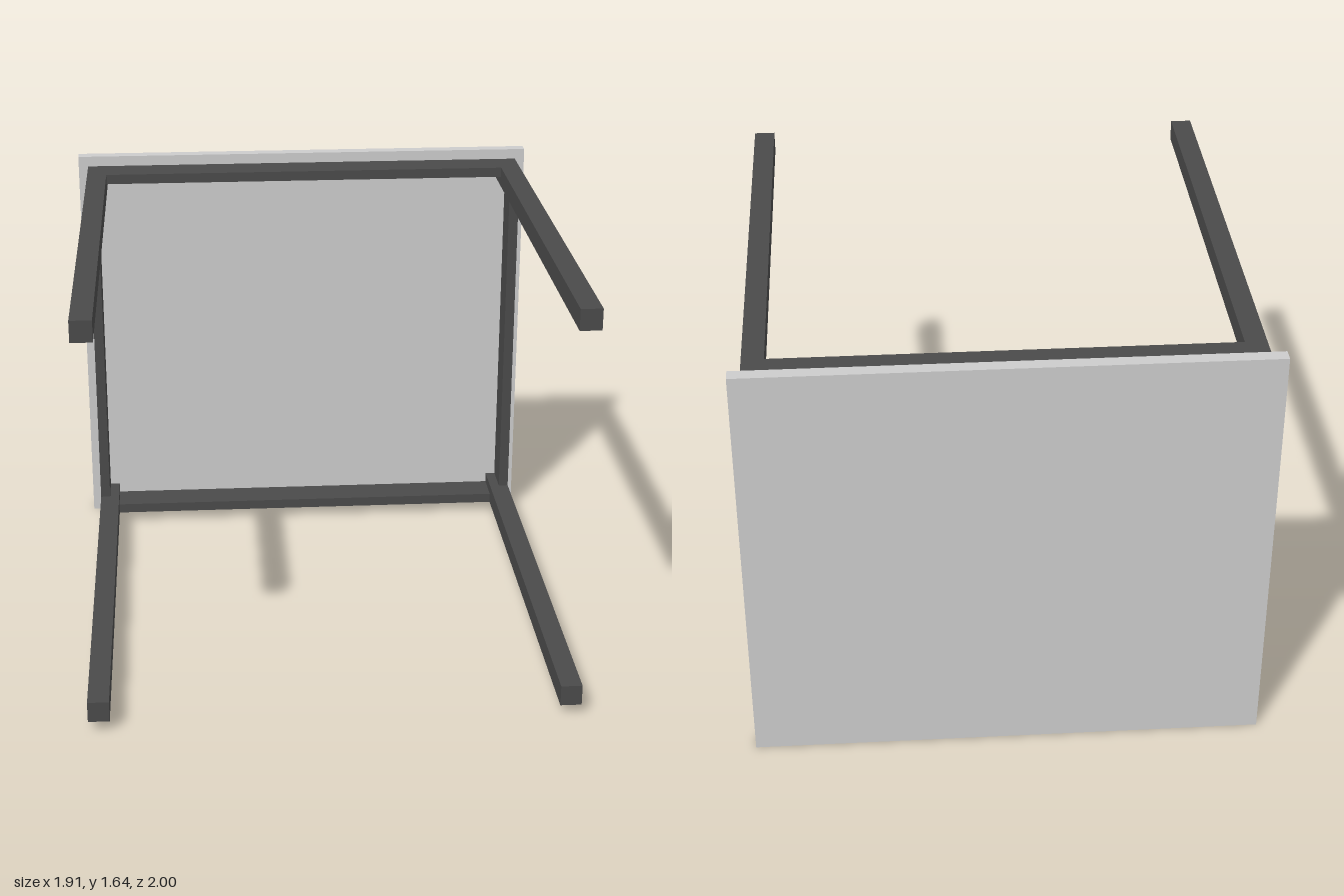
import * as THREE from 'three';

// A table lying on its side: top at the back, legs pointing forward.
export function createModel() {
  const model = new THREE.Group();
  const grey = new THREE.MeshStandardMaterial({ color: 0xcccccc });
  const dark = new THREE.MeshStandardMaterial({ color: 0x4a4a4a });

  const width = 1.91, height = 1.645, midY = height / 2;
  const topBack = -1, topFront = -0.95, apronFront = -0.81, legEnd = 1;
  const frameX = 0.915, frameY = midY - 0.042; // outer half sizes of the frame
  const leg = 0.08, rail = 0.04;

  function addBox(name, material, w, h, x, y, z0, z1) {
    const mesh = new THREE.Mesh(new THREE.BoxGeometry(w, h, z1 - z0), material);
    mesh.name = name;
    mesh.position.set(x, midY + y, (z0 + z1) / 2);
    model.add(mesh);
  }

  addBox('tableTop', grey, width, height, 0, 0, topBack, topFront);

  for (const s of [-1, 1]) {
    // Apron rails run between the legs, flush with their outer faces
    addBox(s < 0 ? 'lowerApron' : 'upperApron', dark,
      2 * (frameX - leg), rail, 0, s * (frameY - rail / 2), topFront, apronFront);
    addBox(s < 0 ? 'rightApron' : 'leftApron', dark,
      rail, 2 * (frameY - leg), s * (frameX - rail / 2), 0, topFront, apronFront);

    // Legs at the corners
    for (const t of [-1, 1]) {
      addBox((t < 0 ? 'lower' : 'upper') + (s < 0 ? 'Right' : 'Left') + 'Leg', dark,
        leg, leg, s * (frameX - leg / 2), t * (frameY - leg / 2), topFront, legEnd);
    }
  }
  return model;
}
